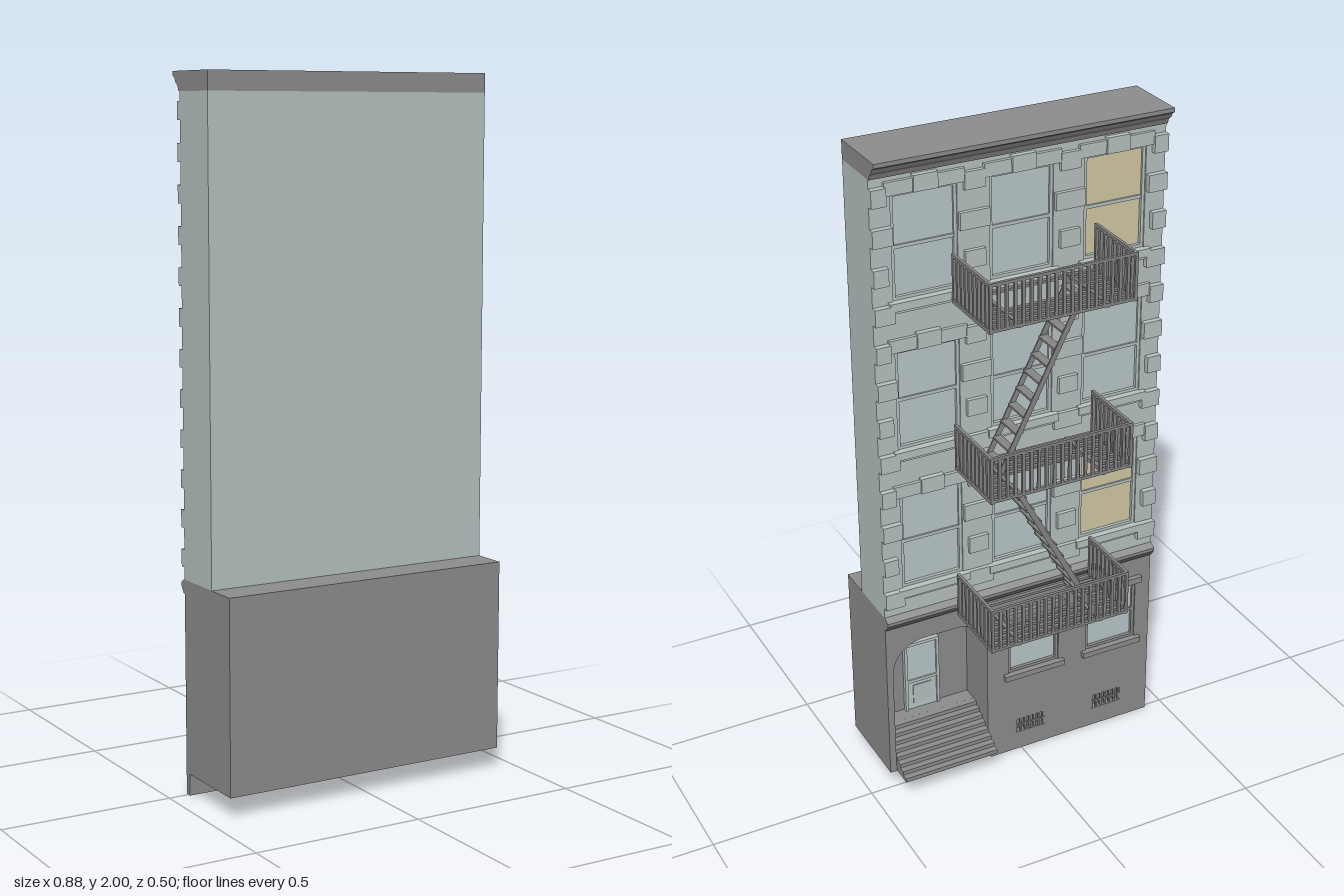
import * as THREE from 'three';

const mat = (name, color) => {
  const m = new THREE.MeshStandardMaterial({ color });
  m.name = name;
  return m;
};
const wall = mat('pale wall', 0xb8c4c2);
const stone = mat('grey stone', 0x8e8e8e);
const iron = mat('iron grey', 0x868686);
const glass = mat('window glass', 0xbac9cb);
const cream = mat('lit blind', 0xd2caa4);

function add(parent, name, geo, m) {
  const mesh = new THREE.Mesh(geo, m);
  mesh.name = name;
  parent.add(mesh);
  return mesh;
}
// box given by its limits on each axis
function box(parent, name, m, x0, x1, y0, y1, z0, z1) {
  const g = new THREE.BoxGeometry(x1 - x0, y1 - y0, z1 - z0);
  g.translate((x0 + x1) / 2, (y0 + y1) / 2, (z0 + z1) / 2);
  return add(parent, name, g, m);
}
function group(parent, name) {
  const g = new THREE.Group();
  g.name = name;
  parent.add(g);
  return g;
}
const poly = pts => new THREE.Shape(pts.map(p => new THREE.Vector2(p[0], p[1])));
function rectHole(cx, w, y0, y1) {
  const p = new THREE.Path();
  p.moveTo(cx - w / 2, y0);
  p.lineTo(cx - w / 2, y1);
  p.lineTo(cx + w / 2, y1);
  p.lineTo(cx + w / 2, y0);
  p.closePath();
  return p;
}
function slab(parent, name, m, shape, z0, z1) {
  const g = new THREE.ExtrudeGeometry(shape, { depth: z1 - z0, bevelEnabled: false, curveSegments: 10 });
  g.translate(0, 0, z0);
  return add(parent, name, g, m);
}
// profile of [z, y] points swept along x
function moulding(parent, name, m, pts, x0, x1) {
  const g = new THREE.ExtrudeGeometry(poly(pts.map(([z, y]) => [-z, y])), { depth: x1 - x0, bevelEnabled: false });
  g.rotateY(Math.PI / 2);
  g.translate(x0, 0, 0);
  return add(parent, name, g, m);
}

// sash window: frame, two offset panes and a meeting rail
function sashWindow(parent, name, cx, w, y0, y1, frame, pane) {
  const g = group(parent, name), a = cx - w / 2, b = cx + w / 2, t = 0.009, mid = (y0 + y1) / 2;
  box(g, 'upperPane', pane, a, b, mid, y1, 0.0, 0.009);
  box(g, 'lowerPane', pane, a, b, y0, mid, 0.004, 0.009);
  box(g, 'frameSide', frame, a, a + t, y0, y1, -0.006, 0.008);
  box(g, 'frameSide', frame, b - t, b, y0, y1, -0.006, 0.008);
  box(g, 'frameTop', frame, a, b, y1 - t, y1, -0.006, 0.008);
  box(g, 'frameBottom', frame, a, b, y0, y0 + t, -0.006, 0.008);
  box(g, 'meetingRail', frame, a, b, mid - 0.005, mid + 0.005, -0.005, 0.008);
}

// ground floor outline with the rounded entrance opening cut up from below
function groundShape(leftBase) {
  const s = new THREE.Shape(), r = 0.1, top = 0.51;
  s.moveTo(-0.44, leftBase);
  s.lineTo(0.105, leftBase);
  s.lineTo(0.105, 0.062);
  s.lineTo(0.115, 0.062);
  s.lineTo(0.115, top - r);
  s.absarc(0.115 + r, top - r, r, Math.PI, Math.PI / 2, true);
  s.lineTo(0.42 - r, top);
  s.absarc(0.42 - r, top - r, r, Math.PI / 2, 0, true);
  s.lineTo(0.42, 0.062);
  s.lineTo(0.44, 0.062);
  s.lineTo(0.44, 0.615);
  s.lineTo(-0.44, 0.615);
  s.closePath();
  return s;
}

function buildGroundFloor(root) {
  const g = group(root, 'groundFloor');
  const front = groundShape(0);
  for (const cx of [-0.04, -0.305]) {
    front.holes.push(rectHole(cx, 0.17, 0.29, 0.49), rectHole(cx + 0.01, 0.1, 0.062, 0.11));
    sashWindow(g, 'groundWindow', cx, 0.17, 0.29, 0.49, stone, glass);
    box(g, 'windowSill', stone, cx - 0.1, cx + 0.1, 0.272, 0.29, -0.025, 0);
    box(g, 'windowHead', stone, cx - 0.1, cx + 0.1, 0.49, 0.51, -0.025, 0);
    // barred cellar vent
    for (let i = 0; i < 7; i++) {
      const x = cx - 0.037 + i * 0.0157;
      box(g, 'ventBar', iron, x - 0.003, x + 0.003, 0.062, 0.11, -0.008, -0.002);
    }
    box(g, 'ventRail', iron, cx - 0.04, cx + 0.06, 0.083, 0.089, -0.01, -0.004);
  }
  box(g, 'cellarBox', stone, -0.115, -0.02, 0.01, 0.07, -0.004, 0.045);
  slab(g, 'groundFacade', stone, front, -0.01, 0.01);
  slab(g, 'groundCore', stone, groundShape(0.062), 0.01, 0.13);
  box(g, 'rearBlock', stone, -0.44, 0.44, 0.062, 0.615, 0.13, 0.25);
  moulding(g, 'beltCourse', stone, [[0, 0.57], [-0.016, 0.575], [-0.03, 0.595], [-0.03, 0.605], [-0.012, 0.616], [0, 0.616]], -0.44, 0.44);

  // stoop with eight steps and a landing
  const stoop = group(g, 'stoop');
  for (let i = 0; i < 8; i++) {
    box(stoop, 'step', stone, 0.116, 0.419, 0.063, 0.076 + i * 0.0127, -0.075 + i * 0.02, -0.055 + i * 0.02);
  }
  box(stoop, 'landing', stone, 0.116, 0.419, 0.063, 0.165, 0.085, 0.13);

  // front door set at the back of the recess
  const door = group(g, 'frontDoor');
  box(door, 'doorLeaf', glass, 0.222, 0.318, 0.165, 0.395, 0.122, 0.13);
  for (const x of [0.214, 0.318]) box(door, 'doorJamb', wall, x, x + 0.009, 0.165, 0.404, 0.116, 0.13);
  box(door, 'doorHead', wall, 0.214, 0.327, 0.395, 0.405, 0.116, 0.13);
  box(door, 'doorRail', wall, 0.222, 0.318, 0.262, 0.272, 0.118, 0.13);
  box(door, 'doorPanel', wall, 0.24, 0.3, 0.185, 0.25, 0.119, 0.13);
}

function buildUpperFloors(root) {
  const g = group(root, 'upperFloors');
  const front = poly([[-0.44, 0.615], [0.44, 0.615], [0.44, 1.946], [-0.44, 1.946]]);
  for (let f = 0; f < 3; f++) {
    const y0 = 0.7 + f * 0.447, y1 = y0 + 0.3;
    for (const cx of [-0.285, 0, 0.285]) {
      front.holes.push(rectHole(cx, 0.19, y0, y1));
      sashWindow(g, 'upperWindow', cx, 0.19, y0, y1, wall, cx < 0 && f !== 1 ? cream : glass);
      box(g, 'sill', wall, cx - 0.11, cx + 0.11, y0 - 0.024, y0, -0.027, 0);
      box(g, 'lintel', wall, cx - 0.115, cx + 0.115, y1, y1 + 0.038, -0.02, 0);
      box(g, 'keystone', wall, cx - 0.035, cx + 0.035, y1, y1 + 0.046, -0.026, 0);
    }
    box(g, 'stringCourse', wall, -0.44, 0.44, y0 - 0.034, y0 - 0.024, -0.018, 0);
  }
  slab(g, 'upperFacade', wall, front, -0.01, 0.01);
  box(g, 'upperCore', wall, -0.44, 0.44, 0.615, 1.946, 0.009, 0.15);

  // alternating long and short blocks on the piers
  for (let i = 0; i < 12; i++) {
    const y = 0.674 + i * 0.111, long = i % 2 === 0;
    for (const s of [-1, 1]) {
      const inner = s * (long ? 0.382 : 0.397), h = long ? 0.044 : 0.03;
      box(g, 'cornerBlock', wall, Math.min(inner, s * 0.44), Math.max(inner, s * 0.44), y - 0.025, y + 0.025, -0.027, 0);
      box(g, 'pierBlock', wall, s * 0.1425 - h, s * 0.1425 + h, y - 0.025, y + 0.025, -0.022, 0);
    }
  }
  // roof band and cornice
  moulding(g, 'roofCornice', stone, [[0.15, 1.946], [-0.017, 1.946], [-0.022, 1.96], [-0.034, 1.97],
    [-0.04, 1.982], [-0.05, 1.988], [-0.05, 2], [0.15, 2]], -0.44, 0.44);
}

// railed platform with a slatted floor and a stair opening between zA and zB
function platform(parent, y, zA, zB) {
  const g = group(parent, 'platform'), top = y + 0.138, zi = -0.03, zo = -0.25;
  for (let i = 0; i < 10; i++) {
    const z = -0.036 - i * 0.0231, open = z > zA && z < zB;
    const spans = open ? [[-0.22, -0.13], [0.13, 0.22]] : [[-0.22, 0.22]];
    for (const [a, b] of spans) box(g, 'floorSlat', iron, a, b, y, y + 0.008, z - 0.006, z + 0.006);
  }
  for (const x of [-0.215, -0.132, 0.132, 0.215]) {
    box(g, 'floorBeam', iron, x - 0.005, x + 0.005, y - 0.002, y + 0.01, zo, zi);
  }
  for (const ry of [y, top - 0.008]) {
    box(g, 'frontRail', iron, -0.22, 0.22, ry, ry + 0.009, zo, zo + 0.009);
    for (const x of [-0.22, 0.211]) box(g, 'sideRail', iron, x, x + 0.009, ry, ry + 0.009, zo, zi);
  }
  for (let i = 0; i <= 18; i++) {
    const x = -0.2155 + i * 0.02394;
    box(g, 'frontBaluster', iron, x - 0.0045, x + 0.0045, y, top, zo, zo + 0.008);
  }
  for (const x of [-0.219, 0.211]) {
    for (let i = 0; i < 9; i++) {
      const z = -0.035 - i * 0.0235;
      box(g, 'sideBaluster', iron, x, x + 0.008, y, top, z - 0.0045, z + 0.0045);
    }
  }
}

// open stair rising from x0 to x1
function stair(parent, x0, x1, y0, y1, zA, zB) {
  const g = group(parent, 'stair'), n = 11, dx = x1 - x0, dy = y1 - y0;
  for (let i = 0; i < n; i++) {
    const t = (i + 0.5) / n, x = x0 + dx * t, y = y0 + dy * t;
    box(g, 'tread', iron, x - 0.013, x + 0.013, y - 0.003, y + 0.003, zA, zB);
  }
  for (const z of [zA, zB]) {
    const s = add(g, 'stringer', new THREE.BoxGeometry(Math.hypot(dx, dy), 0.016, 0.004), iron);
    s.position.set((x0 + x1) / 2, (y0 + y1) / 2, z);
    s.rotation.z = Math.atan2(dy, dx);
  }
}

export function createModel() {
  const root = new THREE.Group();
  root.name = 'townhouse';
  buildGroundFloor(root);
  buildUpperFloors(root);
  const escape = group(root, 'fireEscape');
  platform(escape, 0.572, -0.135, -0.045);
  platform(escape, 1.058, -0.243, -0.15);
  platform(escape, 1.567, -0.135, -0.045);
  stair(escape, -0.13, 0.13, 0.575, 1.064, -0.24, -0.155);
  stair(escape, 0.13, -0.13, 1.064, 1.573, -0.13, -0.042);
  return root;
}
